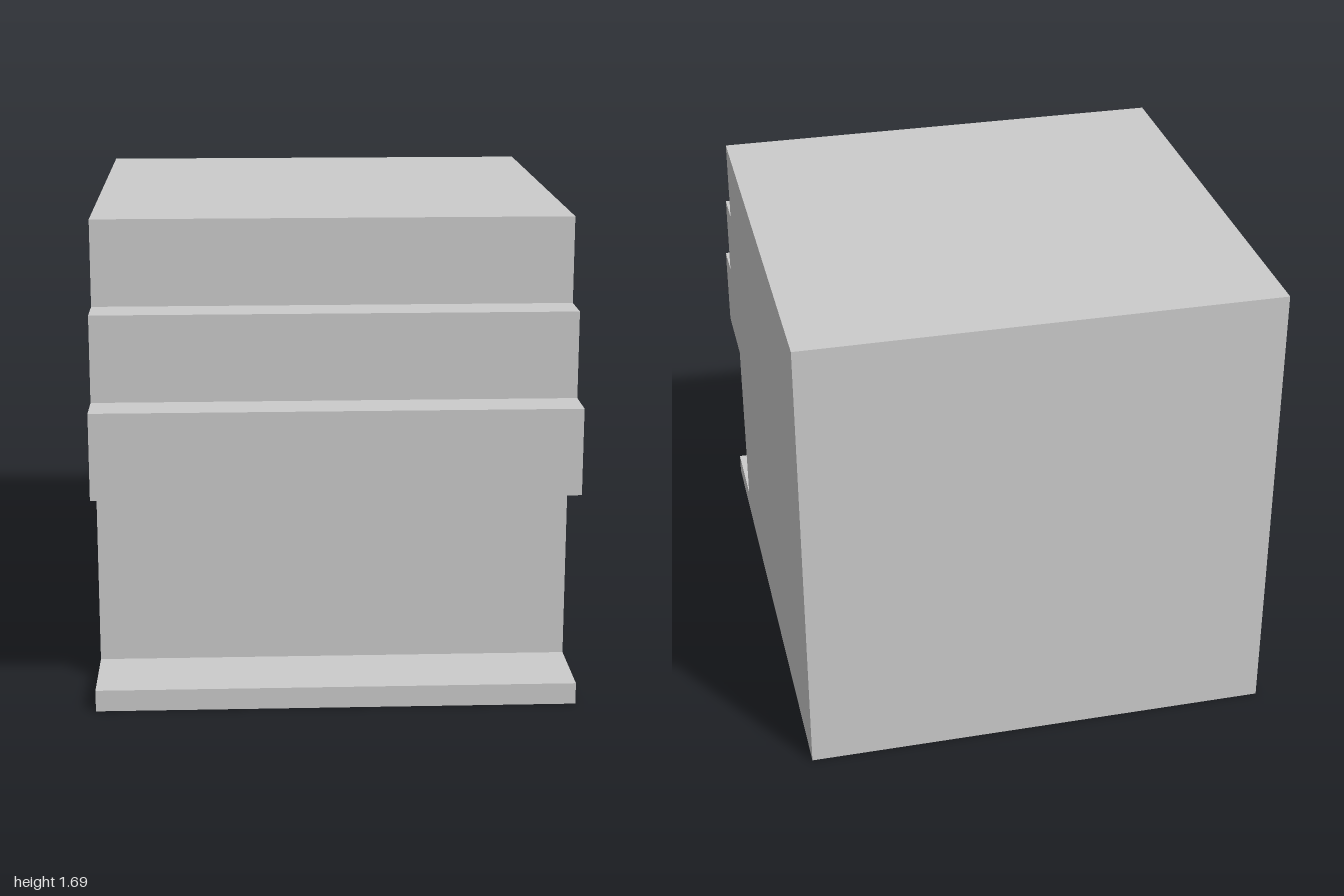
import * as THREE from 'three';

export function createModel() {
  const group = new THREE.Group();
  const material = new THREE.MeshStandardMaterial({ color: 0xcccccc, flatShading: true });
  const u = 1 / 13; // all sizes are whole multiples of this unit
  const width = 22 * u;

  // Side profile as (z, y): flat back, stepped control ledge and base plinth in front
  const profile = [
    [-13, 0], [13, 0], [13, 1], [9, 1],   // plinth
    [9, 10], [13, 10], [13, 14],          // overhanging ledge
    [11, 14], [11, 18], [9, 18],          // upper step
    [9, 22], [-13, 22],                   // top
  ].map(([z, y]) => new THREE.Vector2(z * u, y * u));

  // Extrude across the width, then turn the profile so it faces +z
  const geometry = new THREE.ExtrudeGeometry(new THREE.Shape(profile), { depth: width, bevelEnabled: false });
  geometry.translate(0, 0, -width / 2);
  geometry.rotateY(-Math.PI / 2);

  const body = new THREE.Mesh(geometry, material);
  body.name = 'steppedCabinetBody';
  group.add(body);
  return group;
}
